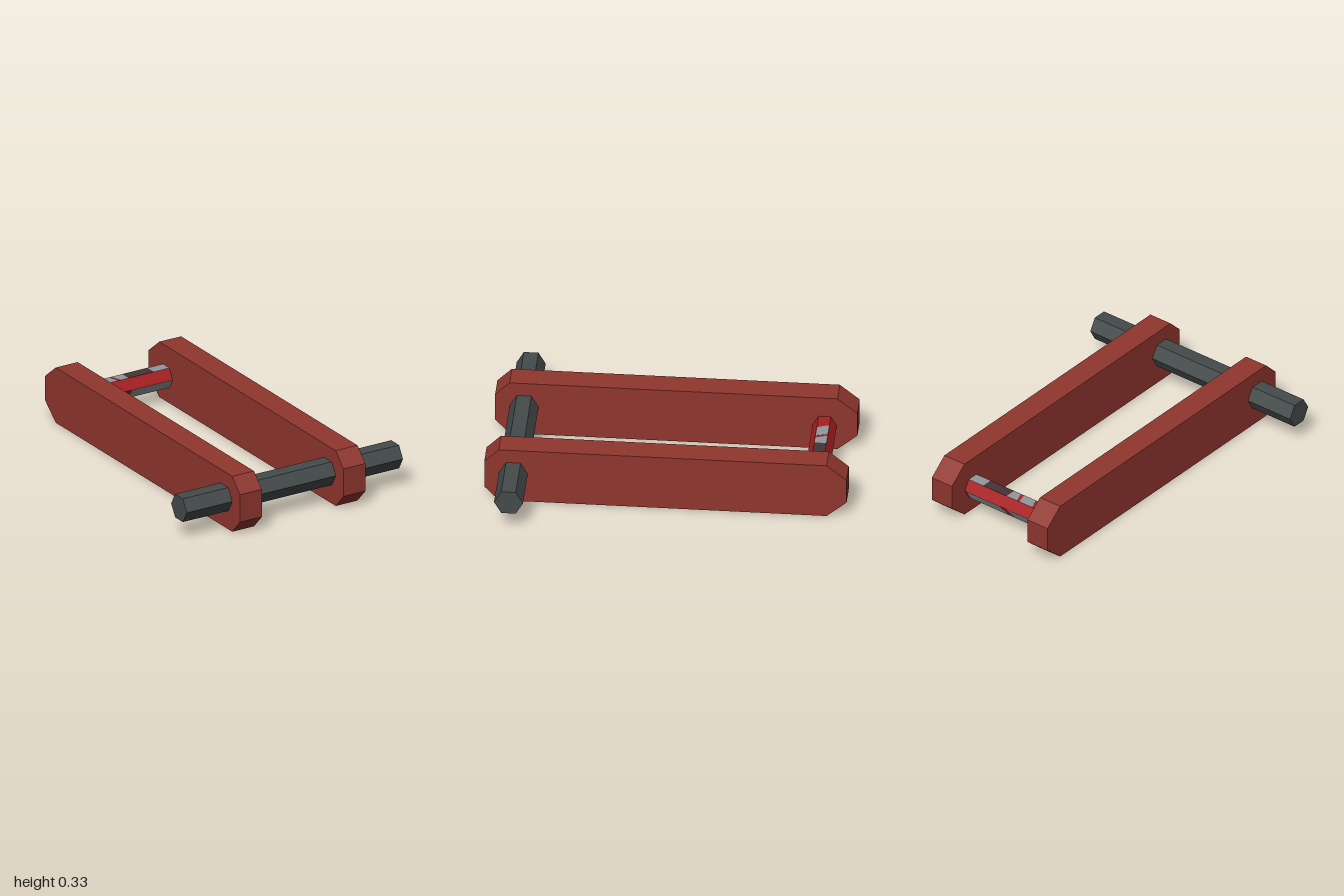
import * as THREE from 'three';

const material = (name, color) => {
  const m = new THREE.MeshStandardMaterial({ color, flatShading: true });
  m.name = name;
  return m;
};

export function createModel() {
  const model = new THREE.Group();
  model.name = 'twinBarLink';
  const barRed = material('brick red', 0x8f362e);
  const rodGrey = material('dark steel', 0x444a4a);
  const pinRed = material('bright red', 0xaa1f20);
  const lightGrey = material('light grey', 0x92989c);
  const darkGrey = material('dark brown grey', 0x453436);

  const add = (parent, name, geometry, mat) => {
    const mesh = new THREE.Mesh(geometry, mat);
    mesh.name = name;
    parent.add(mesh);
    return mesh;
  };

  // Side bars: chamfered profile drawn in (z, y), extruded across x
  const profile = [[1, 0.085], [1, 0.25], [0.92, 0.33], [-0.89, 0.33],
    [-1, 0.24], [-1, 0.095], [-0.89, 0], [0.92, 0]];
  const barShape = new THREE.Shape(profile.map(([z, y]) => new THREE.Vector2(-z, y)));
  const barGeometry = new THREE.ExtrudeGeometry(barShape, { depth: 0.142, bevelEnabled: false });
  barGeometry.translate(0, 0, -0.071).rotateY(Math.PI / 2);
  for (const side of [-1, 1]) {
    add(model, side > 0 ? 'leftBar' : 'rightBar', barGeometry, barRed).position.x = side * 0.337;
  }

  // Hexagonal cross rods with flats on top and bottom
  const hexRod = (name, radius, length, y, z, mat) => {
    const geometry = new THREE.CylinderGeometry(radius, radius, length, 6).rotateZ(Math.PI / 2);
    add(model, name, geometry, mat).position.set(0, y, z);
  };
  hexRod('frontRod', 0.08, 1.408, 0.18, 0.84, rodGrey);
  const pinRadius = 0.067, pinY = 0.152, pinZ = -0.819;
  hexRod('rearPin', pinRadius, 0.56, pinY, pinZ, pinRed);

  // Painted patches on the pin's faces: [left low, right low, right high, left high] in x
  const half = pinRadius / 2, apothem = pinRadius * Math.cos(Math.PI / 6);
  const patchFace = (name, angle, patches) => {
    const face = new THREE.Group();
    face.name = name;
    face.position.set(0, pinY, pinZ);
    face.rotation.x = -THREE.MathUtils.degToRad(angle);
    for (const [mat, a, b, c, d] of patches) {
      const shape = new THREE.Shape([[a, -half], [b, -half], [c, half], [d, half]]
        .map(([x, v]) => new THREE.Vector2(x, v)));
      const plate = new THREE.ExtrudeGeometry(shape, { depth: 0.0015, bevelEnabled: false });
      add(face, 'paintPatch', plate, mat).position.z = apothem - 0.0005;
    }
    model.add(face);
  };
  patchFace('topPaint', 90, [
    [lightGrey, -0.155, -0.07, -0.09, -0.18],
    [lightGrey, -0.05, 0, 0, -0.075],
    [darkGrey, 0, 0.165, 0.165, 0],
    [lightGrey, 0.165, 0.266, 0.266, 0.165],
  ]);
  patchFace('lowerFrontPaint', -30, [
    [lightGrey, -0.1, -0.08, -0.1, -0.2],
    [lightGrey, 0, 0.266, 0.266, 0],
  ]);
  patchFace('lowerBackPaint', 210, [
    [lightGrey, -0.22, -0.02, -0.07, -0.19],
    [lightGrey, 0.02, 0.25, 0.25, -0.02],
  ]);
  return model;
}
